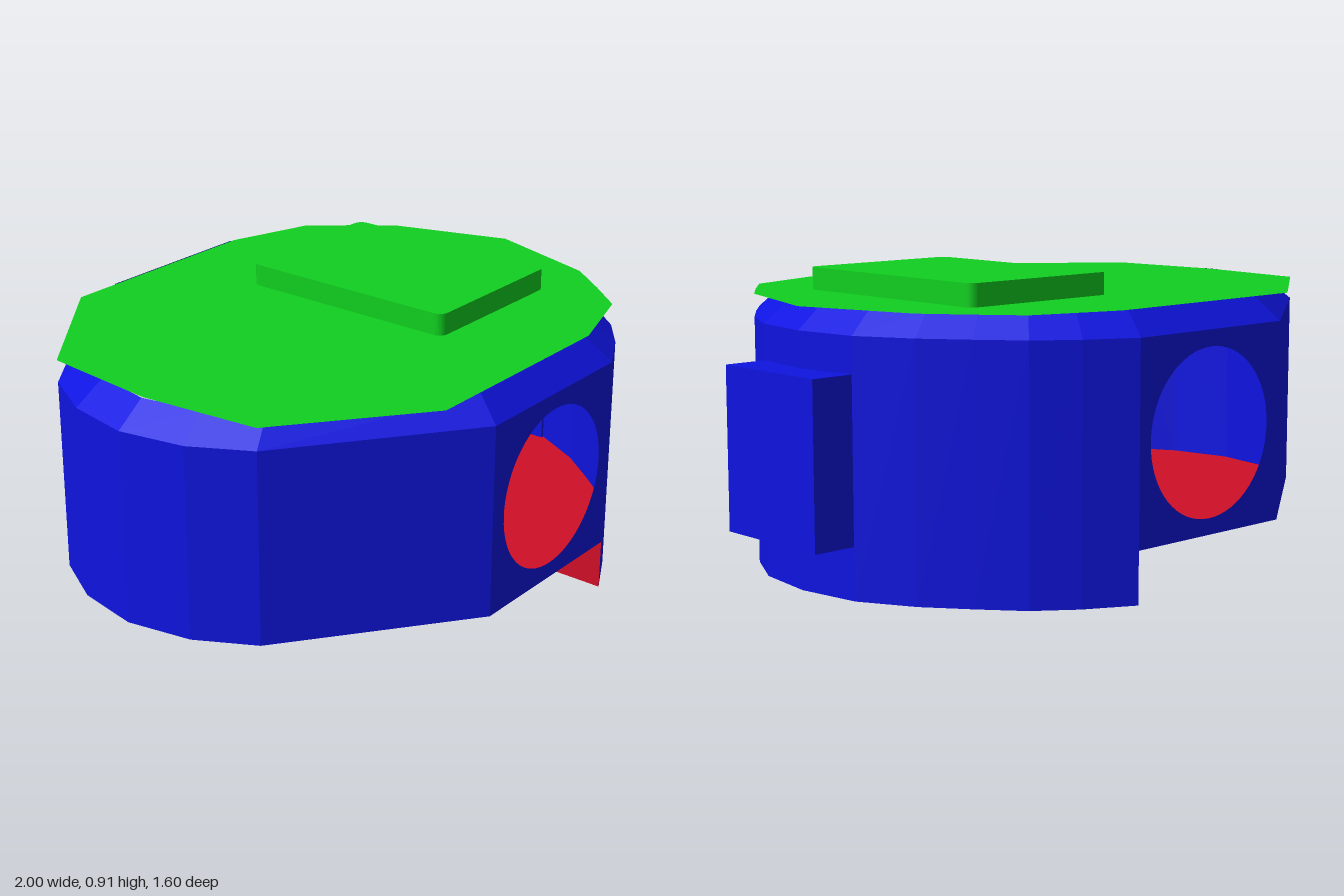
import * as THREE from 'three';

const paint = (color) => new THREE.MeshStandardMaterial({ color, flatShading: true, side: THREE.DoubleSide });
const blue = paint(0x0f14e0), green = paint(0x10d020), red = paint(0xd01028);

// Half plans as [x, z], from the rear end to the nose; the other half is mirrored
const tailPts = [[-1, 0], [-0.96, 0.21], [-0.86, 0.39], [-0.31, 0.8]];
const nosePts = [[0.3, 0.8], [0.45, 0.72], [0.57, 0.63], [0.67, 0.51], [0.77, 0.38], [0.86, 0.21], [0.89, 0]];
const lidPts = [[-0.9, 0], [-0.86, 0.39], [-0.44, 0.72], [0.29, 0.72], [0.57, 0.63], [0.67, 0.51], [0.77, 0.38], [0.89, 0]];
const BASE = 0.16, SHOULDER = 0.77, TOP = 0.84;

const flip = (pts) => pts.map(([x, z]) => [x, -z]).reverse();
const mirrored = (pts) => [...pts, ...flip(pts)];

// Ribbon of quads between two matching paths
function band(low, y0, high, y1) {
  const v = [];
  for (let i = 0; i < low.length - 1; i++) {
    const a = [low[i][0], y0, low[i][1]], b = [low[i + 1][0], y0, low[i + 1][1]];
    const c = [high[i + 1][0], y1, high[i + 1][1]], d = [high[i][0], y1, high[i][1]];
    v.push(...a, ...b, ...c, ...a, ...c, ...d);
  }
  const g = new THREE.BufferGeometry();
  g.setAttribute('position', new THREE.Float32BufferAttribute(v, 3));
  g.computeVertexNormals();
  return g;
}

const outline = (pts) => new THREE.Shape(pts.map(([x, z]) => new THREE.Vector2(x, z)));

// Flat horizontal sheet
function sheet(pts, y) {
  return new THREE.ShapeGeometry(outline(pts)).rotateX(Math.PI / 2).translate(0, y, 0);
}

export function createModel() {
  const model = new THREE.Group();
  const add = (name, geometry, material) => {
    const mesh = new THREE.Mesh(geometry, material);
    mesh.name = name;
    model.add(mesh);
    return mesh;
  };

  // Side walls and the bevel above them
  const full = mirrored([...tailPts, ...nosePts]);
  const nose = mirrored(nosePts);
  const inset = full.map(([x, z]) => [x * 0.905, z * 0.905]);
  add('tailWall', band([...flip(tailPts), ...tailPts], BASE, [...flip(tailPts), ...tailPts], SHOULDER), blue);
  add('noseWall', band(nose, 0, nose, SHOULDER), blue);
  add('bevel', band(full, SHOULDER, inset, TOP), blue);

  // Flat side panels, each with a round opening
  const panel = outline([[-0.31, BASE], [0.3, BASE], [0.3, SHOULDER], [-0.31, SHOULDER]]);
  panel.holes.push(new THREE.Path().absarc(0, 0.465, 0.255, 0, Math.PI * 2, true));
  for (const side of [1, -1]) {
    const g = new THREE.ShapeGeometry(panel, 32);
    if (side < 0) g.rotateY(Math.PI).scale(-1, 1, 1);
    add(side > 0 ? 'frontPanel' : 'backPanel', g.translate(0, 0, side * 0.8), blue);
  }

  // End block on the nose
  add('endBlock', new THREE.BoxGeometry(0.15, 0.5, 0.415).translate(0.925, 0.41, 0), blue);

  // Lid sheet and the raised pad on it
  add('lid', sheet(mirrored(lidPts), TOP), green);
  const r = 0.03, x1 = 0.56, z1 = 0.38;
  const pad = new THREE.Shape();
  pad.absarc(x1 - r, z1 - r, r, 0, Math.PI / 2);
  pad.absarc(r, z1 - r, r, Math.PI / 2, Math.PI);
  pad.absarc(r, r - z1, r, Math.PI, Math.PI * 1.5);
  pad.absarc(x1 - r, r - z1, r, Math.PI * 1.5, Math.PI * 2);
  const padGeometry = new THREE.ExtrudeGeometry(pad, { depth: 0.07, bevelEnabled: false, curveSegments: 4 });
  add('raisedPad', padGeometry.rotateX(-Math.PI / 2).translate(0, TOP, 0), green);

  // Floor, and the lower foot with its rounded inner end
  add('floor', sheet(full, BASE), red);
  const arc = [];
  const half = Math.atan2(0.39, 0.18);
  for (let i = 0; i <= 20; i++) {
    const a = Math.PI + half * (1 - i / 10);
    arc.push([0.48 + 0.43 * Math.cos(a), -0.43 * Math.sin(a)]);
  }
  const step = [[0.3, -0.8], ...arc, [0.3, 0.8]];
  add('footWall', band(step, 0, step, BASE), red);
  add('footSole', sheet([...arc, ...mirrored(nosePts.slice(2))], 0), red);
  return model;
}
